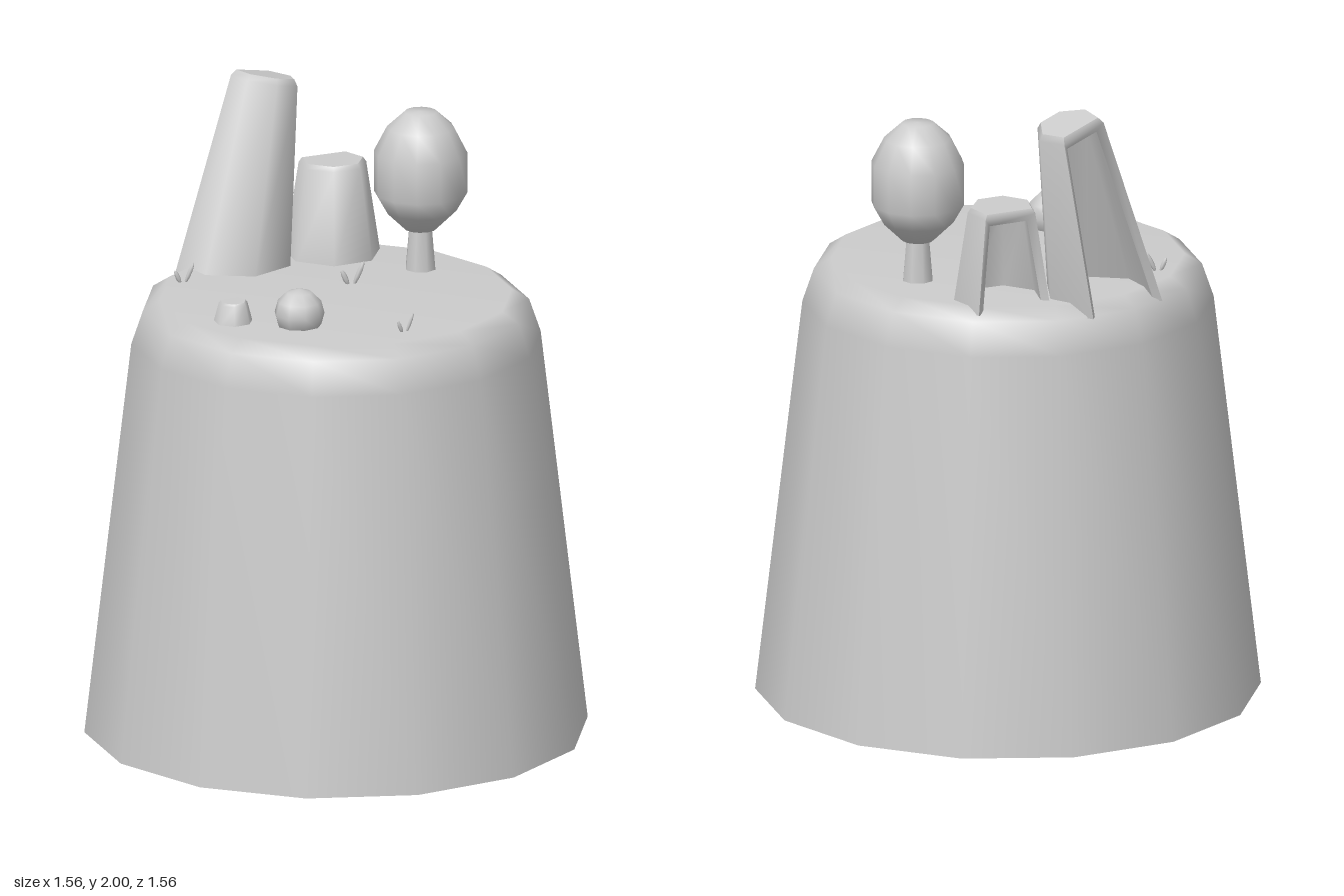
import * as THREE from 'three';
import { toCreasedNormals } from 'three/addons/utils/BufferGeometryUtils.js';

const mat = new THREE.MeshStandardMaterial({ color: 0xcccccc, side: THREE.DoubleSide });
const GROUND = 1.4;

function addMesh(parent, name, geometry, x = 0, y = 0, z = 0) {
  const mesh = new THREE.Mesh(geometry, mat);
  mesh.name = name;
  mesh.position.set(x, y, z);
  parent.add(mesh);
  return mesh;
}

function lathe(points, sides, start = 0) {
  return new THREE.LatheGeometry(points.map(p => new THREE.Vector2(...p)), sides, start);
}

// Seven-sided hollow stump: the rear corner is left out, which opens the back
function stumpGeometry(base, top, rBase, rTop, yaw, bevel) {
  const bottom = new THREE.Vector3(...base), end = new THREE.Vector3(...top);
  const axis = end.clone().sub(bottom).normalize();
  const tilt = new THREE.Quaternion().setFromUnitVectors(new THREE.Vector3(0, 1, 0), axis);
  const positions = [], index = [], N = 6;

  // One open ring at height fraction f, lying flat at the base and square to the axis above
  const ring = (f, r) => {
    const first = positions.length / 3;
    const centre = bottom.clone().lerp(end, f);
    for (let i = 0; i < N; i++) {
      const a = yaw + (i - 2.5) * Math.PI * 2 / 7;
      const p = new THREE.Vector3(Math.sin(a) * r, 0, Math.cos(a) * r);
      if (f > 0) p.applyQuaternion(tilt);
      positions.push(...p.add(centre).toArray());
    }
    return first;
  };
  const quad = (a, b, c, d) => index.push(a, b, c, a, c, d);
  const skin = (lo, hi, inward) => {
    for (let i = 0; i < N - 1; i++) {
      if (inward) quad(lo + i + 1, lo + i, hi + i, hi + i + 1);
      else quad(lo + i, lo + i + 1, hi + i + 1, hi + i);
    }
  };
  const cap = (r, down) => {
    for (let i = 1; i < N - 1; i++) {
      if (down) index.push(r, r + i + 1, r + i);
      else index.push(r, r + i, r + i + 1);
    }
  };

  const length = bottom.distanceTo(end);
  const wall = rTop * 0.25;
  const o0 = ring(0, rBase), o1 = ring(1 - bevel / length, rTop), o2 = ring(1, rTop - bevel * 0.7);
  const i0 = ring(0, rBase - wall), i1 = ring(1 - (bevel + wall) / length, rTop - wall);
  skin(o0, o1, false);
  skin(o1, o2, false);
  cap(o2, false);
  skin(i0, i1, true);
  cap(i1, true);
  // Door posts and lintel
  const e = N - 1;
  quad(o0 + e, i0 + e, i1 + e, o1 + e);
  quad(i0, o0, o1, i1);
  quad(i1 + e, i1, o1, o1 + e);
  quad(o1 + e, o1, o2, o2 + e);

  const g = new THREE.BufferGeometry();
  g.setAttribute('position', new THREE.Float32BufferAttribute(positions, 3));
  g.setIndex(index);
  return toCreasedNormals(g, 1.0);
}

export function createModel() {
  const model = new THREE.Group();
  model.name = 'plateau';

  // Tapered fourteen-sided mound, open underneath
  addMesh(model, 'mound', lathe(
    [[0.787, 0], [0.64, 1.26], [0.604, 1.365], [0.55, GROUND], [0, GROUND]],
    14, -Math.PI / 28));

  // Hollow stumps
  const stumps = [
    ['tallStump', [-0.14, 1.36, -0.45], [0, 1.975, -0.51], 0.185, 0.108, 0.36, 0.02],
    ['mediumStump', [0.18, 1.38, -0.405], [0.185, 1.7, -0.415], 0.155, 0.108, 0.04, 0.015],
    ['smallStump', [-0.41, 1.39, 0.12], [-0.41, 1.466, 0.12], 0.064, 0.046, 0.08, 0.008],
  ];
  for (const [name, ...shape] of stumps) addMesh(model, name, stumpGeometry(...shape));

  // Round-crowned tree
  const tree = new THREE.Group();
  tree.name = 'tree';
  tree.position.set(0.355, GROUND, -0.135);
  model.add(tree);
  addMesh(tree, 'treeTrunk', new THREE.CylinderGeometry(0.036, 0.05, 0.16, 8), 0, 0.07, 0);
  addMesh(tree, 'treeCrown', lathe(
    [[0, 0.12], [0.05, 0.13], [0.112, 0.19], [0.146, 0.25], [0.146, 0.38],
      [0.105, 0.46], [0.05, 0.51], [0, 0.513]], 12));

  // Round bush
  addMesh(model, 'bush', new THREE.SphereGeometry(0.079, 9, 6), -0.24, 1.437, 0.24);

  // Grass tufts: two thin blades spread in a V
  const tufts = [[-0.375, -0.32, 0.9, -0.1], [0.09, -0.08, 1.05, -0.15], [0.025, 0.445, 0.85, 0.15]];
  for (const [x, z, size, yaw] of tufts) {
    const tuft = new THREE.Group();
    tuft.name = 'grassTuft';
    tuft.position.set(x, GROUND - 0.005, z);
    tuft.rotation.y = yaw;
    tuft.scale.setScalar(size);
    model.add(tuft);
    for (const [side, height] of [[-1, 0.055], [1, 0.078]]) {
      const blade = new THREE.SphereGeometry(0.5, 6, 5);
      blade.translate(0, 0.5, 0);
      blade.scale(0.017, height, 0.012);
      const mesh = addMesh(tuft, 'grassBlade', blade, side * 0.008, 0, 0);
      mesh.rotation.z = -side * 0.42;
    }
  }
  return model;
}
